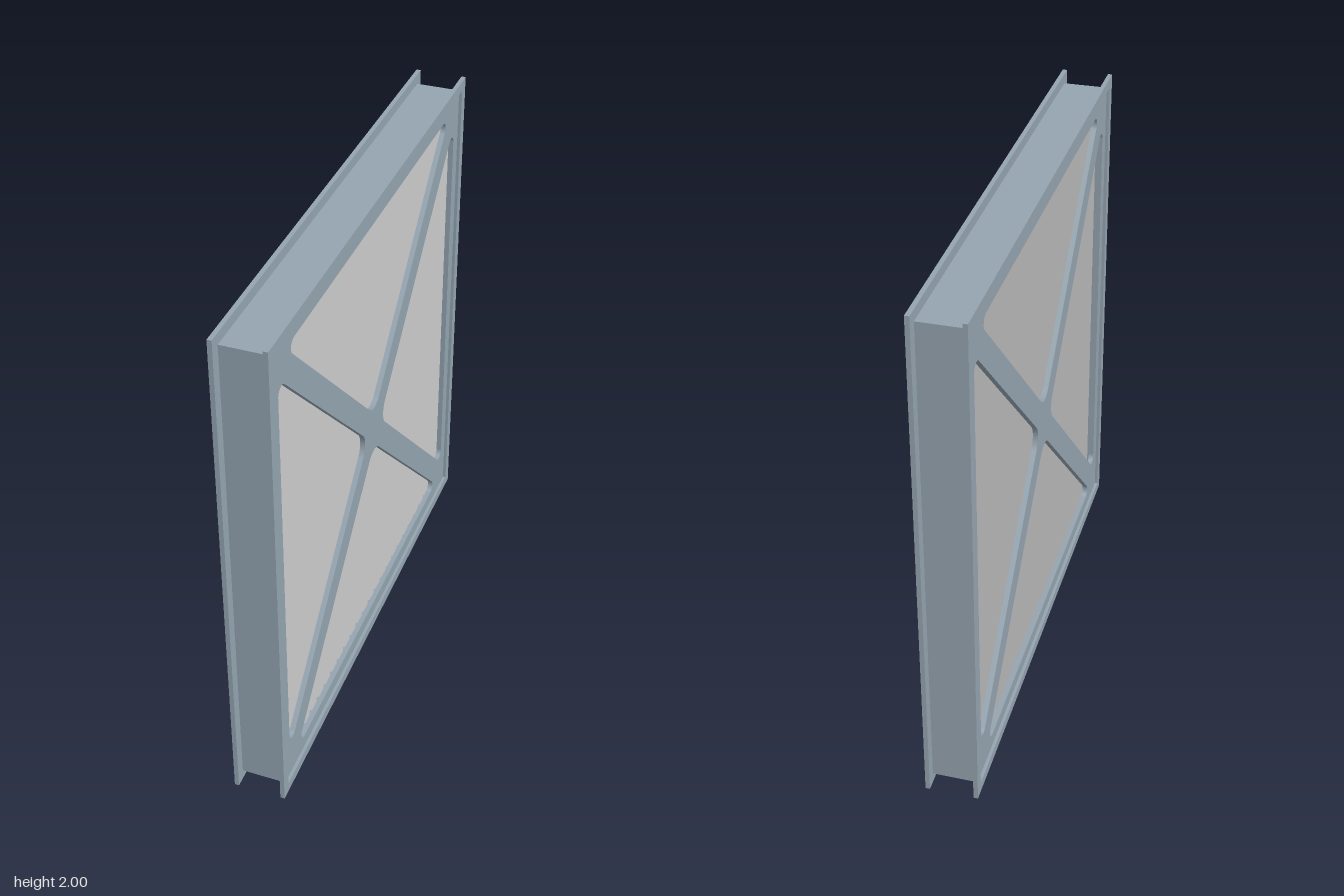
import * as THREE from 'three';

const frameMat = new THREE.MeshStandardMaterial({ color: 0x94a4b0 });
const mediaMat = new THREE.MeshStandardMaterial({ color: 0xcccccc, side: THREE.DoubleSide });

// Square outline of half-size h, centred on the origin
function square(h, Type) {
  const p = new Type();
  p.moveTo(-h, -h);
  p.lineTo(h, -h);
  p.lineTo(h, h);
  p.lineTo(-h, h);
  p.closePath();
  return p;
}

// Rounded triangular window, turned by quarter turns about the centre
function windowHole(turn) {
  const c = 0.07, edge = 0.907, rIn = 0.075, rOut = 0.03;
  const cx = edge - c - rOut * (1 + Math.SQRT2), cy = edge - rOut, q = Math.PI / 4;
  const p = new THREE.Path();
  p.absarc(0, c + rIn * Math.SQRT2, rIn, -3 * q, -q, false);
  p.absarc(cx, cy, rOut, -q, 2 * q, false);
  p.absarc(-cx, cy, rOut, 2 * q, 5 * q, false);
  p.closePath();
  const o = new THREE.Vector2();
  return new THREE.Path(p.getPoints(10).map(v => v.clone().rotateAround(o, turn * Math.PI / 2)));
}

// Extrude a sheet across x, from x0 to x1
function sheet(name, half, holes, x0, x1) {
  const shape = square(half, THREE.Shape);
  shape.holes.push(...holes);
  const geo = new THREE.ExtrudeGeometry(shape, { depth: x1 - x0, bevelEnabled: false });
  geo.rotateY(Math.PI / 2);
  geo.translate(x0, 1, 0);
  const mesh = new THREE.Mesh(geo, frameMat);
  mesh.name = name;
  return mesh;
}

// Upright saw-tooth sheet: each tooth slopes inward along +z, then steps back out
function pleats(name, s, teeth, halfZ, xIn, xOut, halfY) {
  const pos = [], index = [], pitch = (2 * halfZ) / teeth;
  const fold = (x, z) => pos.push(s * x, 1 - halfY, z, s * x, 1 + halfY, z);
  for (let i = 0; i < teeth; i++) {
    const z = -halfZ + i * pitch;
    fold(xOut, z);
    fold(xIn, z + pitch * 0.97);
  }
  for (let a = 0; a < 4 * teeth - 2; a += 2) {
    if (s > 0) index.push(a, a + 1, a + 3, a, a + 3, a + 2);
    else index.push(a, a + 3, a + 1, a, a + 2, a + 3);
  }
  const indexed = new THREE.BufferGeometry();
  indexed.setAttribute('position', new THREE.Float32BufferAttribute(pos, 3));
  indexed.setIndex(index);
  const geo = indexed.toNonIndexed();
  geo.computeVertexNormals();
  const mesh = new THREE.Mesh(geo, mediaMat);
  mesh.name = name;
  return mesh;
}

export function createModel() {
  const group = new THREE.Group();
  group.name = 'panelFilter';

  // Channel wall around the edge
  group.add(sheet('channelWall', 0.96, [square(0.945, THREE.Path)], -0.085, 0.085));

  // Outer flange, cross-braced grille and pleated media on each face
  for (const [side, s] of [['left', 1], ['right', -1]]) {
    const span = (a, b) => (s > 0 ? [a, b] : [-b, -a]);
    group.add(sheet(side + 'Flange', 1, [square(0.96, THREE.Path)], ...span(0.083, 0.1)));
    group.add(sheet(side + 'Grille', 0.96, [0, 1, 2, 3].map(windowHole), ...span(0.068, 0.088)));
    group.add(pleats(side + 'Media', s, 26, 0.95, 0.002, 0.067, 0.95));
  }
  return group;
}
